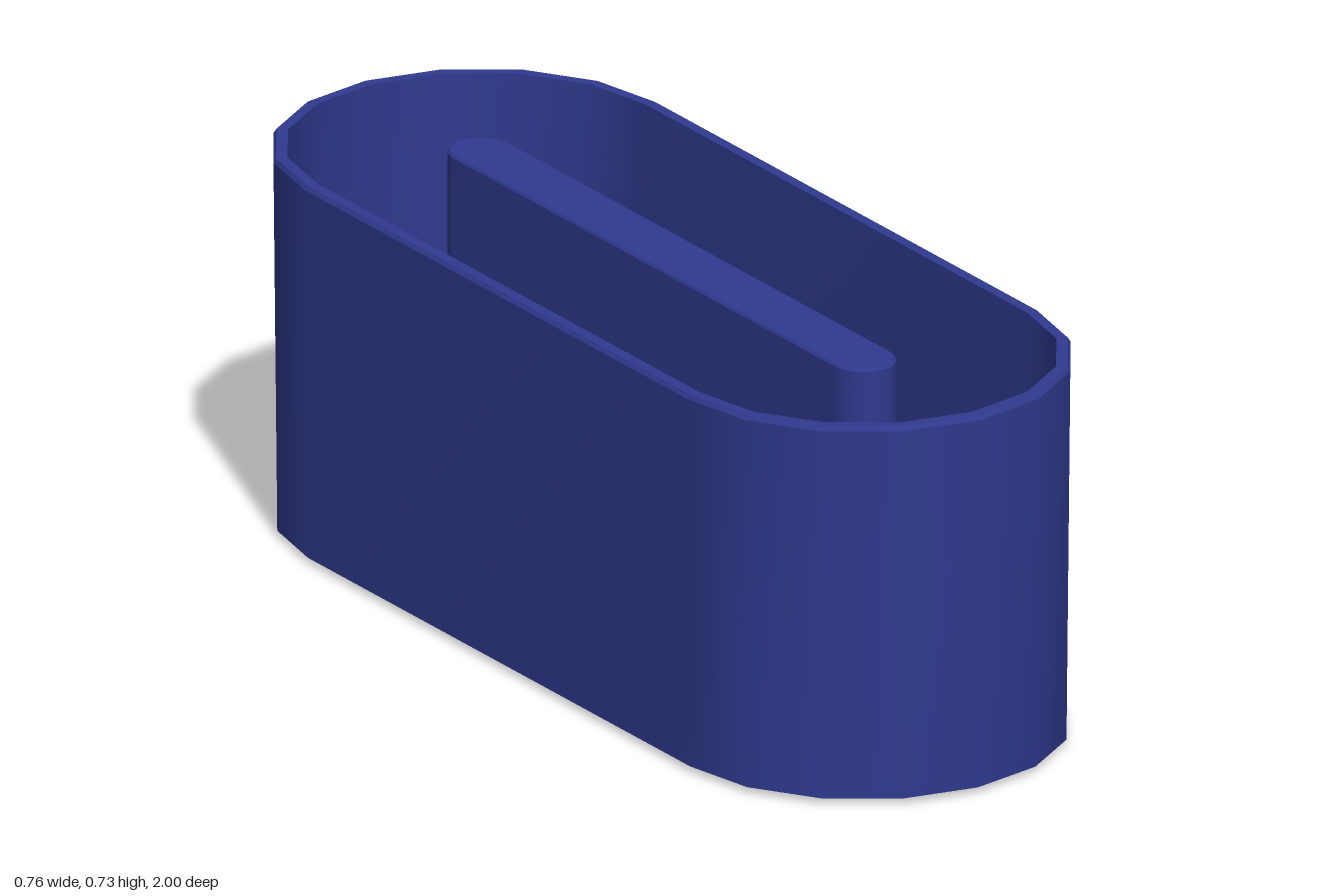
import * as THREE from 'three';

const HALF = 0.62; // distance from the middle to the centre of each round end

// Stadium outline: two half circles joined by straight sides
function ring(radius, y, segments) {
  const points = [];
  for (const end of [1, -1]) {
    for (let i = 0; i <= segments; i++) {
      const a = (i / segments) * Math.PI - Math.PI / 2;
      points.push([end * radius * Math.sin(a), y, end * (HALF + radius * Math.cos(a))]);
    }
  }
  return points;
}

// Band between two [radius, y] outlines, with smooth normals around it
function band([r0, y0], [r1, y1], segments) {
  const a = ring(r0, y0, segments), b = ring(r1, y1, segments), n = a.length;
  const index = [];
  for (let i = 0; i < n; i++) {
    const j = (i + 1) % n;
    index.push(i, j, n + j, i, n + j, n + i);
  }
  const geometry = new THREE.BufferGeometry();
  geometry.setAttribute('position', new THREE.Float32BufferAttribute([...a, ...b].flat(), 3));
  geometry.setIndex(index);
  geometry.computeVertexNormals();
  return geometry;
}

// Bands along a profile of [radius, y] points, with crisp edges between them
function part(name, profile, segments, material) {
  const group = new THREE.Group();
  group.name = name;
  for (let i = 0; i < profile.length - 1; i++) {
    const mesh = new THREE.Mesh(band(profile[i], profile[i + 1], segments), material);
    mesh.name = `${name}Band${i + 1}`;
    group.add(mesh);
  }
  return group;
}

export function createModel() {
  const model = new THREE.Group();
  model.name = 'ovalTub';
  const blue = new THREE.MeshStandardMaterial({ color: 0x2f3a8f, side: THREE.DoubleSide });

  // Tub: shallow keeled underside, tapered wall, chamfered rim, inner wall, floor
  model.add(part('tub', [
    [0, 0], [0.373, 0.012], [0.38, 0.722], [0.375, 0.73],
    [0.354, 0.73], [0.347, 0.04], [0, 0.03],
  ], 8, blue));

  // Upright divider standing on the floor
  model.add(part('divider', [[0.06, 0.03], [0.06, 0.715], [0.056, 0.72], [0, 0.72]], 12, blue));

  return model;
}
